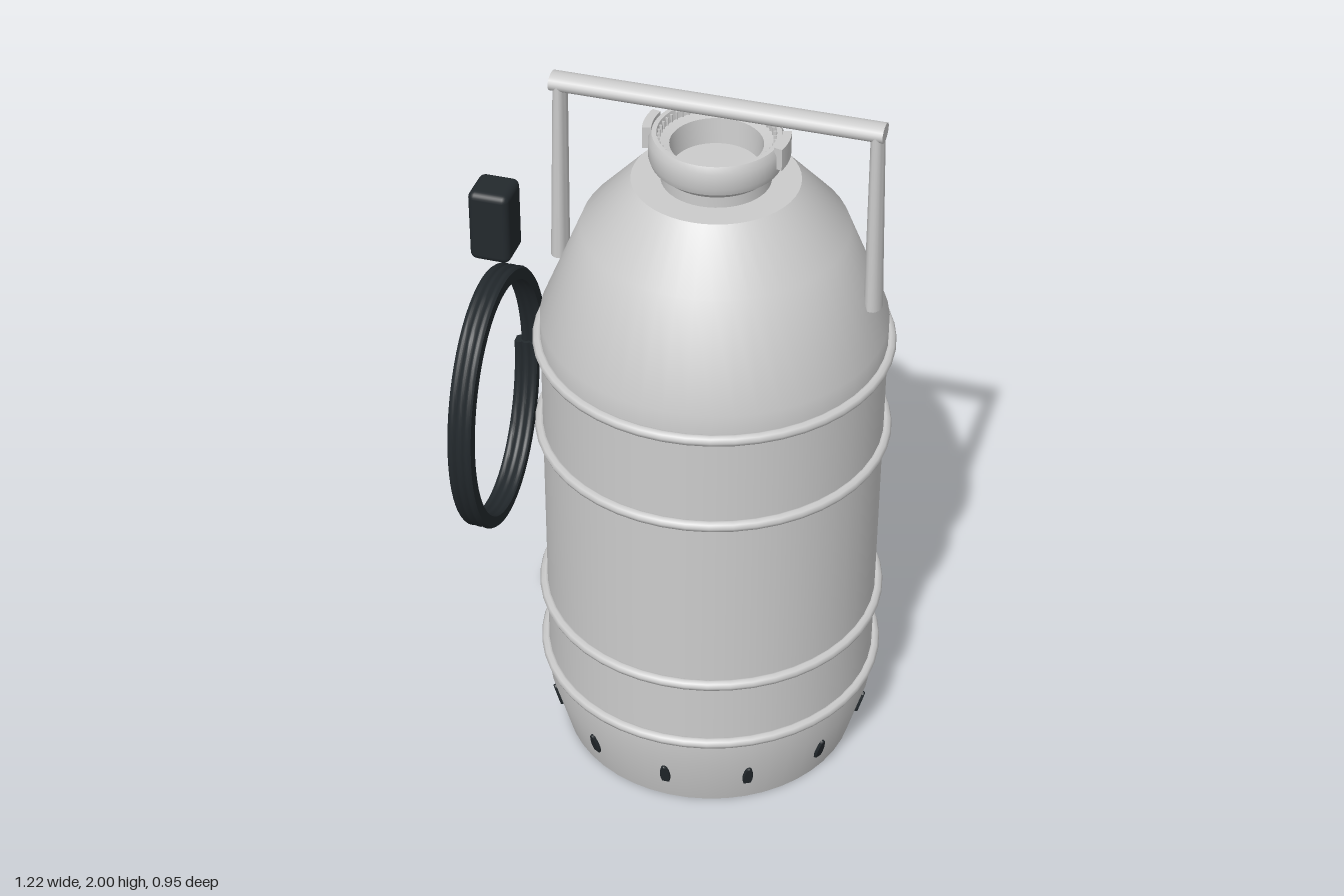
import * as THREE from 'three';
import { toCreasedNormals } from 'three/addons/utils/BufferGeometryUtils.js';
import { RoundedBoxGeometry } from 'three/addons/geometries/RoundedBoxGeometry.js';

const grey = new THREE.MeshStandardMaterial({ color: 0xcccccc });
const dark = new THREE.MeshStandardMaterial({ color: 0x23292d });

function add(parent, name, geometry, material = grey) {
  const mesh = new THREE.Mesh(geometry, material);
  mesh.name = name;
  parent.add(mesh);
  return mesh;
}

// Revolved profile given as [radius, height] pairs, bottom to top
function lathe(profile, crease = 0.6) {
  const points = profile.map(([r, y]) => new THREE.Vector2(r, y));
  return toCreasedNormals(new THREE.LatheGeometry(points, 48), crease);
}

// One turn of a slightly helical, elliptical loop lying in the yz plane
class LoopCurve extends THREE.Curve {
  getPoint(t, target = new THREE.Vector3()) {
    const a = t * Math.PI * 2;
    const shrink = 1 - 0.035 * t;
    return target.set(-0.471 - 0.018 * t, 0.945 + 0.375 * Math.sin(a), -0.287 * shrink * Math.cos(a));
  }
}

export function createModel() {
  const model = new THREE.Group();
  const canister = new THREE.Group();
  canister.name = 'canister';
  canister.position.x = 0.133;
  model.add(canister);

  // Tank with tapered foot, straight wall and domed shoulder
  add(canister, 'tank', lathe([
    [0, 0], [0.407, 0], [0.453, 0.17], [0.453, 0.26], [0.453, 1.29], [0.453, 1.36],
    [0.343, 1.63], [0.215, 1.77], [0, 1.77],
  ]));

  // Raised bands
  for (const y of [0.26, 0.47, 1.015, 1.29]) {
    const band = add(canister, 'band', new THREE.TorusGeometry(0.459, 0.015, 8, 48));
    band.rotation.x = Math.PI / 2;
    band.position.y = y;
  }

  // Neck and hollow collar
  add(canister, 'collar', lathe([
    [0.14, 1.765], [0.14, 1.80], [0.152, 1.815], [0.165, 1.822], [0.171, 1.84], [0.171, 1.885],
    [0.162, 1.902], [0.15, 1.902], [0.145, 1.875], [0.118, 1.87], [0.112, 1.80], [0, 1.80],
  ]));

  // Fine ribs inside the collar rim
  const ribs = new THREE.Group();
  ribs.name = 'collarRibs';
  canister.add(ribs);
  const ribShape = new THREE.BoxGeometry(0.008, 0.022, 0.004);
  for (let i = 0; i < 48; i++) {
    const a = (i / 48) * Math.PI * 2;
    const rib = add(ribs, 'rib', ribShape);
    rib.position.set(0.146 * Math.cos(a), 1.885, 0.146 * Math.sin(a));
    rib.rotation.y = -a;
  }

  // Curved clips on both sides of the collar
  const clipShape = new THREE.Shape();
  clipShape.absarc(0, 0, 0.186, -0.25, 0.25, false);
  clipShape.absarc(0, 0, 0.163, 0.25, -0.25, true);
  const clipGeometry = new THREE.ExtrudeGeometry(clipShape, { depth: 0.06, bevelEnabled: false, curveSegments: 6 });
  clipGeometry.rotateX(-Math.PI / 2);
  for (const turn of [0, Math.PI]) {
    const clip = add(canister, 'collarClip', clipGeometry);
    clip.position.y = 1.85;
    clip.rotation.y = turn;
  }

  // Carrying handle: oval bar on two legs that widen and splay downward
  const handle = new THREE.Group();
  handle.name = 'handle';
  canister.add(handle);
  const bar = add(handle, 'handleBar', new THREE.CylinderGeometry(1, 1, 0.856, 20));
  bar.geometry.scale(0.0235, 1, 0.033);
  bar.geometry.rotateZ(Math.PI / 2);
  bar.position.set(-0.002, 1.9765, 0);
  for (const side of [-1, 1]) {
    const geometry = new THREE.CylinderGeometry(1, 1, 1, 20);
    const p = geometry.attributes.position;
    for (let i = 0; i < p.count; i++) {
      const t = p.getY(i) + 0.5;
      const x = p.getX(i) * THREE.MathUtils.lerp(0.024, 0.017, t) + side * THREE.MathUtils.lerp(0.418, 0.408, t);
      p.setXYZ(i, x, THREE.MathUtils.lerp(1.463, 1.975, t), p.getZ(i) * 0.033);
    }
    add(handle, 'handleLeg', toCreasedNormals(geometry, 0.6));
  }

  // Teardrop vents around the foot
  const drop = new THREE.Shape();
  drop.moveTo(-0.009, -0.036);
  drop.lineTo(0.009, -0.036);
  drop.quadraticCurveTo(0.017, -0.01, 0.006, 0.027);
  drop.quadraticCurveTo(0, 0.036, -0.006, 0.027);
  drop.quadraticCurveTo(-0.017, -0.01, -0.009, -0.036);
  const ventGeometry = new THREE.ExtrudeGeometry(drop, {
    depth: 0.012, bevelThickness: 0.003, bevelSize: 0.002, bevelSegments: 1, curveSegments: 5,
  });
  for (let i = 0; i < 12; i++) {
    const spoke = new THREE.Group();
    spoke.name = 'ventMount';
    spoke.rotation.y = (i * Math.PI) / 6;
    canister.add(spoke);
    const vent = add(spoke, 'vent', ventGeometry, dark);
    vent.position.set(0, 0.115, 0.43);
    vent.rotation.x = 0.265;
  }

  // Ribbed hose loop: three rounded strands side by side
  const section = new THREE.Shape();
  const r = 0.0125, step = 0.022;
  section.moveTo(-0.018, -1.5 * step);
  for (const k of [-1, 0, 1]) {
    section.lineTo(0.012, (k - 0.5) * step);
    section.quadraticCurveTo(0.012 + r, k * step, 0.012, (k + 0.5) * step);
  }
  for (const k of [1, 0, -1]) {
    section.lineTo(-0.012, (k + 0.5) * step);
    section.quadraticCurveTo(-0.012 - r, k * step, -0.012, (k - 0.5) * step);
  }
  section.closePath();
  const hose = new THREE.ExtrudeGeometry(section, { steps: 64, curveSegments: 5, extrudePath: new LoopCurve() });
  add(model, 'hoseLoop', toCreasedNormals(hose, 0.5), dark);

  // Block above the hose
  const block = add(model, 'hoseBlock', new RoundedBoxGeometry(0.115, 0.215, 0.118, 3, 0.02), dark);
  block.position.set(-0.557, 1.358, -0.243);

  return model;
}
